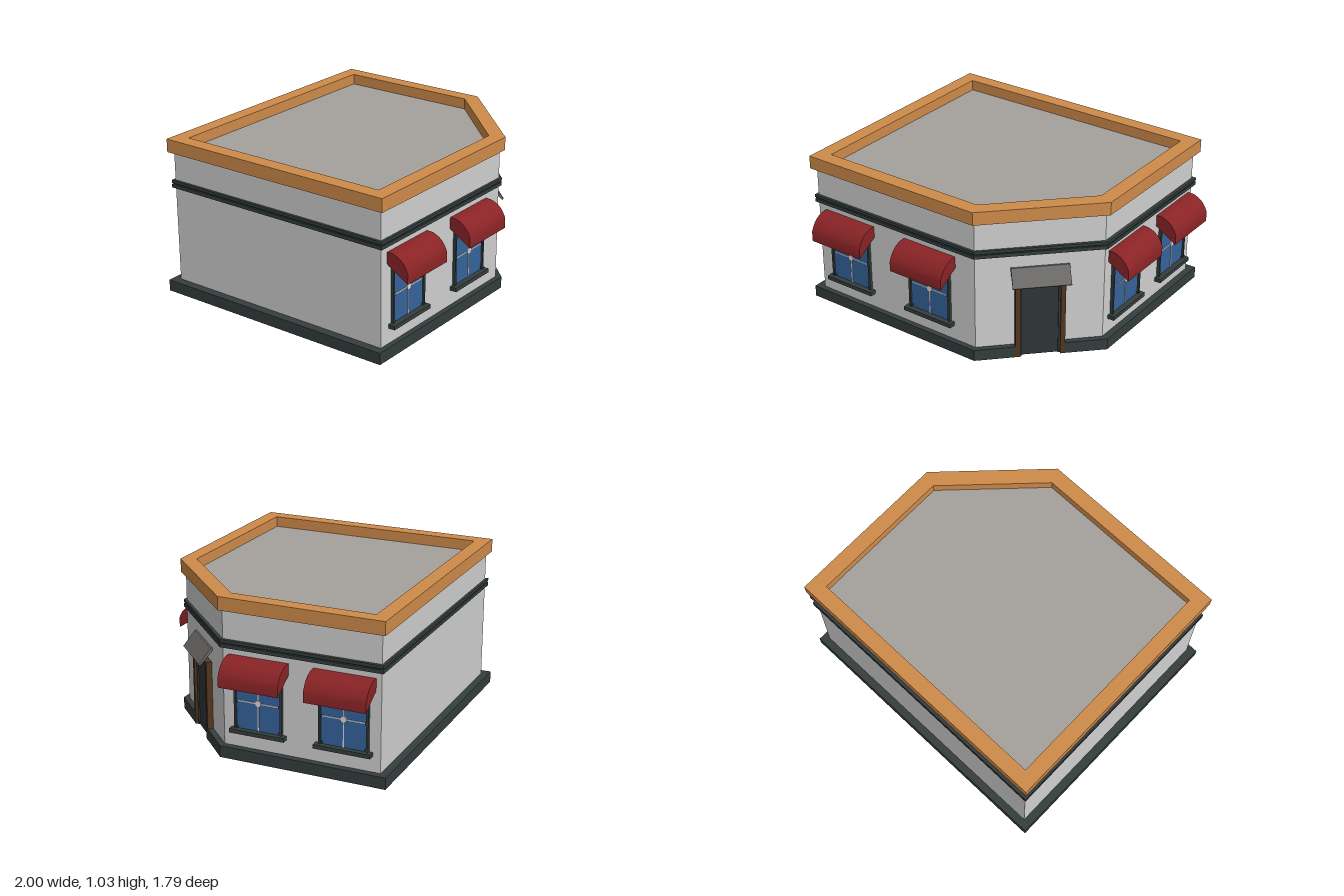
import * as THREE from 'three';
import { toCreasedNormals } from 'three/addons/utils/BufferGeometryUtils.js';

const mat = (name, color, extra = {}) => {
  const m = new THREE.MeshStandardMaterial({ color, ...extra });
  m.name = name;
  return m;
};

export function createModel() {
  const root = new THREE.Group();
  root.name = 'cornerShop';
  const wallMat = mat('wallGrey', 0xd0d0d0);
  const orange = mat('parapetOrange', 0xcf8b4a);
  const roofMat = mat('roofGrey', 0xa5a09c);
  const dark = mat('darkTrim', 0x353d3d);
  const glass = mat('windowBlue', 0x35639b);
  const red = mat('awningRed', 0x8a2326, { side: THREE.DoubleSide });
  const brown = mat('doorFrameBrown', 0x54361e);
  const doorMat = mat('doorDark', 0x2f3535);
  const canopyMat = mat('canopyGrey', 0x6c6a68);
  const white = mat('glazingWhite', 0xdcdcdc);

  const add = (parent, name, geo, material, x = 0, y = 0, z = 0) => {
    const mesh = new THREE.Mesh(geo, material);
    mesh.name = name;
    mesh.position.set(x, y, z);
    parent.add(mesh);
    return mesh;
  };
  const box = (parent, name, material, w, h, d, x, y, z) =>
    add(parent, name, new THREE.BoxGeometry(w, h, d), material, x, y, z);

  // Plan outline with one cut corner, inset evenly by d; notch cuts the doorway
  const outline = ([x0, x1, z0, z1, cx, cz], d = 0, notch = null) => {
    const k = 0.414 * d;
    const pts = [[x0 + d, z1 - d], [cx - k, z1 - d]];
    if (notch) pts.push(...notch);
    pts.push([x1 - d, cz - k], [x1 - d, z0 + d], [x0 + d, z0 + d]);
    return pts.map(([x, z]) => new THREE.Vector2(x, -z));
  };
  const extrudeUp = (shape, y0, y1) =>
    new THREE.ExtrudeGeometry(shape, { depth: y1 - y0, bevelEnabled: false })
      .rotateX(-Math.PI / 2).translate(0, y0, 0);
  const ring = (name, plan, width, y0, y1, material, notch) => {
    const shape = new THREE.Shape(outline(plan, 0, notch));
    shape.holes.push(new THREE.Path(outline(plan, width)));
    return add(root, name, extrudeUp(shape, y0, y1), material);
  };

  const wallPlan = [-0.945, 0.855, -0.84, 0.755, 0.295, 0.19];
  const basePlan = [-1, 0.9, -0.89, 0.79, 0.31, 0.2];
  const trimPlan = [-0.975, 0.89, -0.87, 0.785, 0.307, 0.2];
  const bandPlan = [-0.962, 0.877, -0.857, 0.772, 0.302, 0.197];
  const groovePlan = [-0.953, 0.865, -0.849, 0.764, 0.299, 0.194];

  // Point on the cut corner: s along the wall, d outward
  const R = Math.SQRT1_2, doorX = 0.575, doorZ = 0.4725;
  const corner = (s, d) => [doorX + (s + d) * R, doorZ + (d - s) * R];
  const notch = [corner(-0.14, 0.036), corner(-0.14, 0.001), corner(0.14, 0.001), corner(0.14, 0.036)];

  // Shell of the building
  ring('walls', wallPlan, 0.006, 0.03, 0.95, wallMat);
  ring('plinth', basePlan, 0.08, 0, 0.075, dark, notch);
  ring('bandLower', bandPlan, 0.028, 0.706, 0.729, dark);
  ring('bandGroove', groovePlan, 0.018, 0.729, 0.737, dark);
  ring('bandUpper', bandPlan, 0.028, 0.737, 0.756, dark);
  ring('parapet', trimPlan, 0.096, 0.942, 1.028, orange);
  add(root, 'roof', extrudeUp(new THREE.Shape(outline(trimPlan, 0.09)), 0.952, 0.958), roofMat);

  // Local frame on a wall: +z points outward
  const place = (name, x, z, angle) => {
    const g = new THREE.Group();
    g.name = name;
    g.position.set(x, 0, z);
    g.rotation.y = angle;
    root.add(g);
    return g;
  };
  // Side profile (z outward, y up) swept across a width
  const sweep = (shape, width) =>
    new THREE.ExtrudeGeometry(shape, { depth: width, bevelEnabled: false, curveSegments: 10 })
      .rotateY(-Math.PI / 2).translate(width / 2, 0, 0);

  // Awning: thin curved shell with a solid cheek at each end
  const cheek = new THREE.Shape();
  cheek.moveTo(0, 0.59);
  cheek.lineTo(0.145, 0.5);
  cheek.lineTo(0.145, 0.565);
  cheek.quadraticCurveTo(0.115, 0.65, 0.035, 0.665);
  cheek.lineTo(0, 0.665);
  const shell = new THREE.Shape();
  shell.moveTo(0.145, 0.5);
  shell.lineTo(0.145, 0.565);
  shell.quadraticCurveTo(0.115, 0.65, 0.035, 0.665);
  shell.lineTo(0, 0.665);
  shell.lineTo(0, 0.659);
  shell.lineTo(0.034, 0.659);
  shell.quadraticCurveTo(0.11, 0.644, 0.139, 0.565);
  shell.lineTo(0.139, 0.504);
  const shellGeo = toCreasedNormals(sweep(shell, 0.395), 0.7);
  const cheekGeo = sweep(cheek, 0.006);

  const addWindow = (name, x, z, angle) => {
    const g = place(name, x, z, angle);
    box(g, 'glass', glass, 0.3, 0.38, 0.008, 0, 0.385, 0.005);
    for (const s of [-1, 1]) {
      box(g, 'frameSide', dark, 0.014, 0.38, 0.02, s * 0.153, 0.385, 0.01);
      add(g, 'awningCheek', cheekGeo, red, s * 0.1945);
      for (const y of [0.38, 0.212])
        box(g, 'frameStud', dark, 0.012, 0.014, 0.014, s * 0.143, y, 0.01);
    }
    box(g, 'frameTop', dark, 0.32, 0.014, 0.02, 0, 0.568, 0.01);
    box(g, 'sill', dark, 0.366, 0.026, 0.045, 0, 0.188, 0.0225);
    box(g, 'glazingBarUpright', white, 0.007, 0.36, 0.004, 0, 0.38, 0.011);
    box(g, 'glazingBarAcross', white, 0.295, 0.007, 0.004, 0, 0.38, 0.011);
    add(g, 'rosette', new THREE.CylinderGeometry(0.021, 0.021, 0.008, 12).rotateX(Math.PI / 2),
      white, 0, 0.38, 0.013);
    add(g, 'awning', shellGeo, red);
  };
  for (const x of [-0.688, -0.048]) addWindow('frontWindow', x, 0.755, 0);
  for (const z of [-0.048, -0.607]) addWindow('sideWindow', 0.855, z, Math.PI / 2);

  // Corner door with frame and sloping canopy
  const door = place('cornerDoor', doorX, doorZ, Math.PI / 4);
  box(door, 'doorLeaf', doorMat, 0.26, 0.5, 0.014, 0, 0.25, 0.006);
  for (const s of [-1, 1]) {
    box(door, 'doorPost', brown, 0.03, 0.52, 0.037, s * 0.14, 0.26, 0.0185);
    box(door, 'doorInnerPost', dark, 0.012, 0.5, 0.022, s * 0.119, 0.25, 0.011);
  }
  box(door, 'doorLintel', brown, 0.31, 0.022, 0.037, 0, 0.509, 0.0185);
  const slope = new THREE.Shape([[0, 0.603], [0.082, 0.513], [0.091, 0.522], [0.012, 0.62], [0, 0.62]]
    .map(([z, y]) => new THREE.Vector2(z, y)));
  add(door, 'canopy', sweep(slope, 0.36), canopyMat);
  return root;
}
